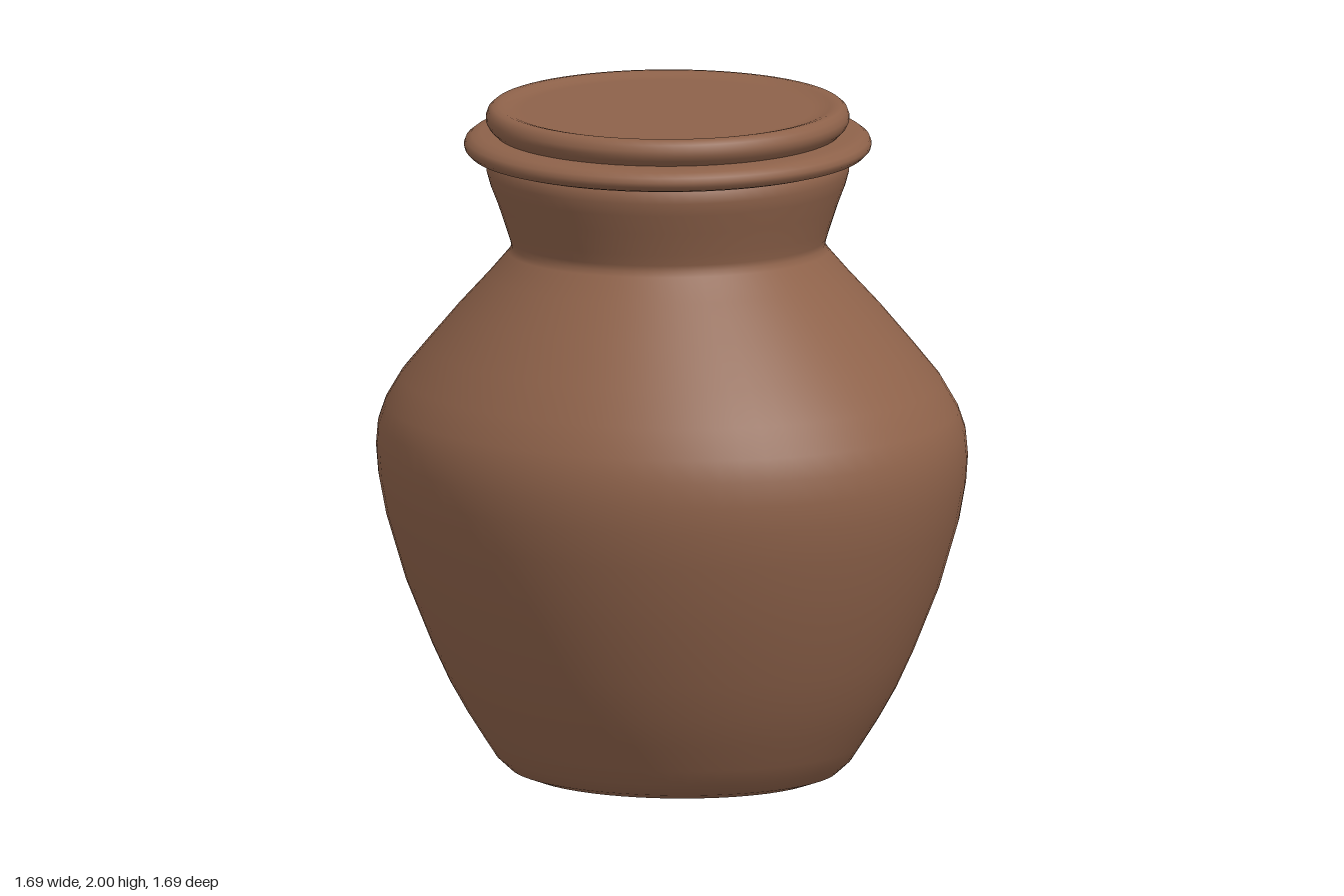
import * as THREE from 'three';

const { lerp, smoothstep } = THREE.MathUtils;

const clay = new THREE.MeshStandardMaterial({ color: 0x8e624a });
clay.name = 'brown clay';

// Tilt of the turning rings towards the back, as [height, slope].
const dips = [[0, 0.052], [1, 0.018], [1.57, 0.06], [1.87, 0.027], [2.1, 0.02]];

function dipAt(y) {
  const i = Math.max(1, dips.findIndex(([h]) => h >= y));
  const [h0, s0] = dips[i - 1], [h1, s1] = dips[i];
  return lerp(s0, s1, (y - h0) / (h1 - h0));
}

// Hand-thrown irregularity: the belly is oval along one diagonal,
// the whole jar leans back and its rings dip.
function handThrown(geometry) {
  const p = geometry.attributes.position;
  for (let i = 0; i < p.count; i++) {
    const x = p.getX(i), y = p.getY(i), z = p.getZ(i);
    const oval = lerp(0.043, 0.003, smoothstep(y, 1.05, 1.65));
    const side = -0.007 * smoothstep(y, 1.1, 1.6);
    p.setXYZ(i, x + oval * z + side, y + dipAt(y) * z, z + oval * x - 0.048 * (y - 0.98));
  }
  geometry.computeVertexNormals();
  // Share the normals across the seam, where the lathe's last column meets its first.
  const n = geometry.attributes.normal;
  const rows = geometry.parameters.points.length;
  const last = p.count - rows;
  const a = new THREE.Vector3(), b = new THREE.Vector3();
  for (let j = 0; j < rows; j++) {
    a.fromBufferAttribute(n, j).add(b.fromBufferAttribute(n, last + j)).normalize();
    n.setXYZ(j, a.x, a.y, a.z);
    n.setXYZ(last + j, a.x, a.y, a.z);
  }
  return geometry;
}

// Turned part from [radius, height] pairs, listed from bottom to top.
function turned(name, profile) {
  const points = profile.map(([r, y]) => new THREE.Vector2(r, y));
  const mesh = new THREE.Mesh(handThrown(new THREE.LatheGeometry(points, 72)), clay);
  mesh.name = name;
  return mesh;
}

export function createModel() {
  const jar = new THREE.Group();
  jar.name = 'lidded jar';

  // Flat foot, swelling belly, sloping shoulder and flared neck
  jar.add(turned('body', [
    [0, 0.03], [0.2, 0.027], [0.36, 0.024], [0.42, 0.028], [0.47, 0.046], [0.51, 0.083],
    [0.54, 0.13], [0.59, 0.21], [0.64, 0.3], [0.69, 0.41], [0.765, 0.6], [0.82, 0.79],
    [0.84, 0.9], [0.846, 0.98], [0.84, 1.05], [0.82, 1.11], [0.775, 1.19], [0.7, 1.285],
    [0.61, 1.395], [0.52, 1.495], [0.463, 1.562], [0.453, 1.578], [0.456, 1.596],
    [0.467, 1.63], [0.49, 1.7], [0.513, 1.76], [0.524, 1.8], [0.524, 1.835], [0.5, 1.865],
  ]));

  // Rolled rim standing out around the mouth
  jar.add(turned('rim', [
    [0.5, 1.846], [0.545, 1.843], [0.572, 1.851], [0.586, 1.865], [0.589, 1.878],
    [0.584, 1.892], [0.567, 1.905], [0.54, 1.911], [0.48, 1.912],
  ]));

  // Lid with a rounded lip around a shallow flat top
  jar.add(turned('lid', [
    [0.49, 1.9], [0.5, 1.912], [0.516, 1.928], [0.525, 1.945], [0.525, 1.96], [0.519, 1.977],
    [0.506, 1.988], [0.488, 1.99], [0.47, 1.986], [0.45, 1.979], [0.42, 1.977], [0, 1.979],
  ]));

  return jar;
}
